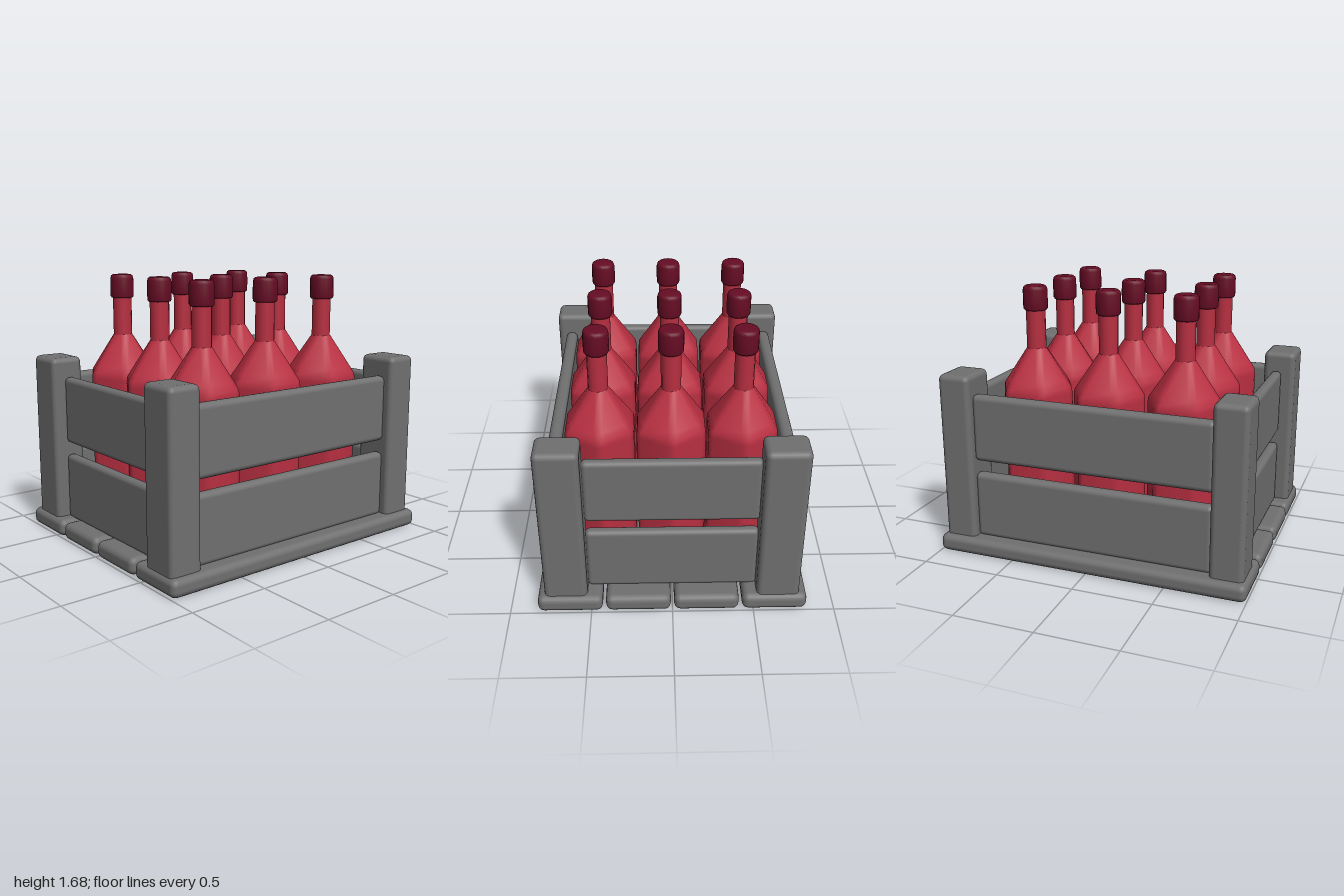
import * as THREE from 'three';
import { RoundedBoxGeometry } from 'three/addons/geometries/RoundedBoxGeometry.js';

const wood = new THREE.MeshStandardMaterial({ name: 'greyWood', color: 0x707070, side: THREE.DoubleSide });
const glass = new THREE.MeshStandardMaterial({ name: 'redGlass', color: 0xb82f41 });
const wax = new THREE.MeshStandardMaterial({ name: 'darkRedWax', color: 0x660c24 });

function add(parent, name, geometry, material, x = 0, y = 0, z = 0) {
  const mesh = new THREE.Mesh(geometry, material);
  mesh.name = name;
  mesh.position.set(x, y, z);
  parent.add(mesh);
  return mesh;
}

// Rounded box with its flat underside left out, so it is hollow from below
function hollowBox(w, h, d, r) {
  const box = new RoundedBoxGeometry(w, h, d, 2, r);
  const p = box.attributes.position;
  const keep = [];
  for (let i = 0; i < p.count; i += 3) {
    const top = Math.max(p.getY(i), p.getY(i + 1), p.getY(i + 2));
    if (top > -h / 2 + 1e-4) keep.push(i, i + 1, i + 2);
  }
  box.clearGroups();
  box.setIndex(keep);
  return box;
}

// Six-sided bottle body with chamfered corners that turns round at the neck
function bottleBody() {
  const rings = [ // height, radius, half angle of the corner chamfer
    [0.11, 0, 5.5], [0.11, 0.2, 5.5], [0.14, 0.228, 5.5], [1.02, 0.228, 5.5],
    [1.06, 0.222, 6], [1.1, 0.195, 7], [1.3, 0.06, 15],
  ];
  const positions = [], index = [], n = 12;
  rings.forEach(([y, r, chamfer], j) => {
    for (let i = 0; i < n; i++) {
      const deg = Math.floor(i / 2) * 60 + (i % 2 ? chamfer : -chamfer);
      const a = THREE.MathUtils.degToRad(deg);
      positions.push(r * Math.cos(a), y, r * Math.sin(a));
      if (j === rings.length - 1) continue;
      const p = j * n + i, q = j * n + (i + 1) % n;
      index.push(p, p + n, q, q, p + n, q + n);
    }
  });
  const geo = new THREE.BufferGeometry();
  geo.setAttribute('position', new THREE.Float32BufferAttribute(positions, 3));
  geo.setIndex(index);
  geo.computeVertexNormals();
  return geo;
}

export function createModel() {
  const model = new THREE.Group();
  model.name = 'bottleCrate';

  const crate = new THREE.Group();
  crate.name = 'crate';
  model.add(crate);

  // Floor planks
  const plank = hollowBox(2, 0.11, 0.4, 0.04);
  for (const z of [-0.63, -0.21, 0.21, 0.63]) add(crate, 'floorPlank', plank, wood, 0, 0.055, z);

  // Corner posts
  const post = hollowBox(0.21, 1.13, 0.265, 0.035);
  for (const [x, z] of [[-0.875, 0.655], [0.862, 0.655], [-0.867, -0.65], [0.87, -0.65]]) {
    add(crate, 'cornerPost', post, wood, x, 0.595, z);
  }

  // Two slats on each side
  const longSlat = new RoundedBoxGeometry(1.55, 0.43, 0.08, 3, 0.035);
  const shortSlat = new RoundedBoxGeometry(0.07, 0.43, 1.05, 3, 0.03);
  for (const y of [0.312, 0.821]) {
    add(crate, 'frontSlat', longSlat, wood, -0.005, y, 0.693);
    add(crate, 'backSlat', longSlat, wood, 0.003, y, -0.693);
    add(crate, 'rightSlat', shortSlat, wood, -0.86, y, 0);
    add(crate, 'leftSlat', shortSlat, wood, 0.836, y, 0);
  }

  // Three rows of three bottles
  const body = bottleBody();
  const neck = new THREE.CylinderGeometry(0.06, 0.06, 0.25, 12, 1, true);
  const cap = new THREE.LatheGeometry([
    [0, 1.535], [0.068, 1.535], [0.075, 1.545], [0.076, 1.6], [0.075, 1.66],
    [0.07, 1.677], [0.058, 1.685], [0, 1.685],
  ].map(([r, y]) => new THREE.Vector2(r, y)), 16);
  for (const x of [-0.5, -0.017, 0.465]) {
    for (const z of [-0.43, 0, 0.43]) {
      const bottle = new THREE.Group();
      bottle.name = 'bottle';
      bottle.position.set(x, 0, z);
      add(bottle, 'bottleBody', body, glass);
      add(bottle, 'bottleNeck', neck, glass, 0, 1.42, 0);
      add(bottle, 'bottleCap', cap, wax);
      model.add(bottle);
    }
  }
  return model;
}
